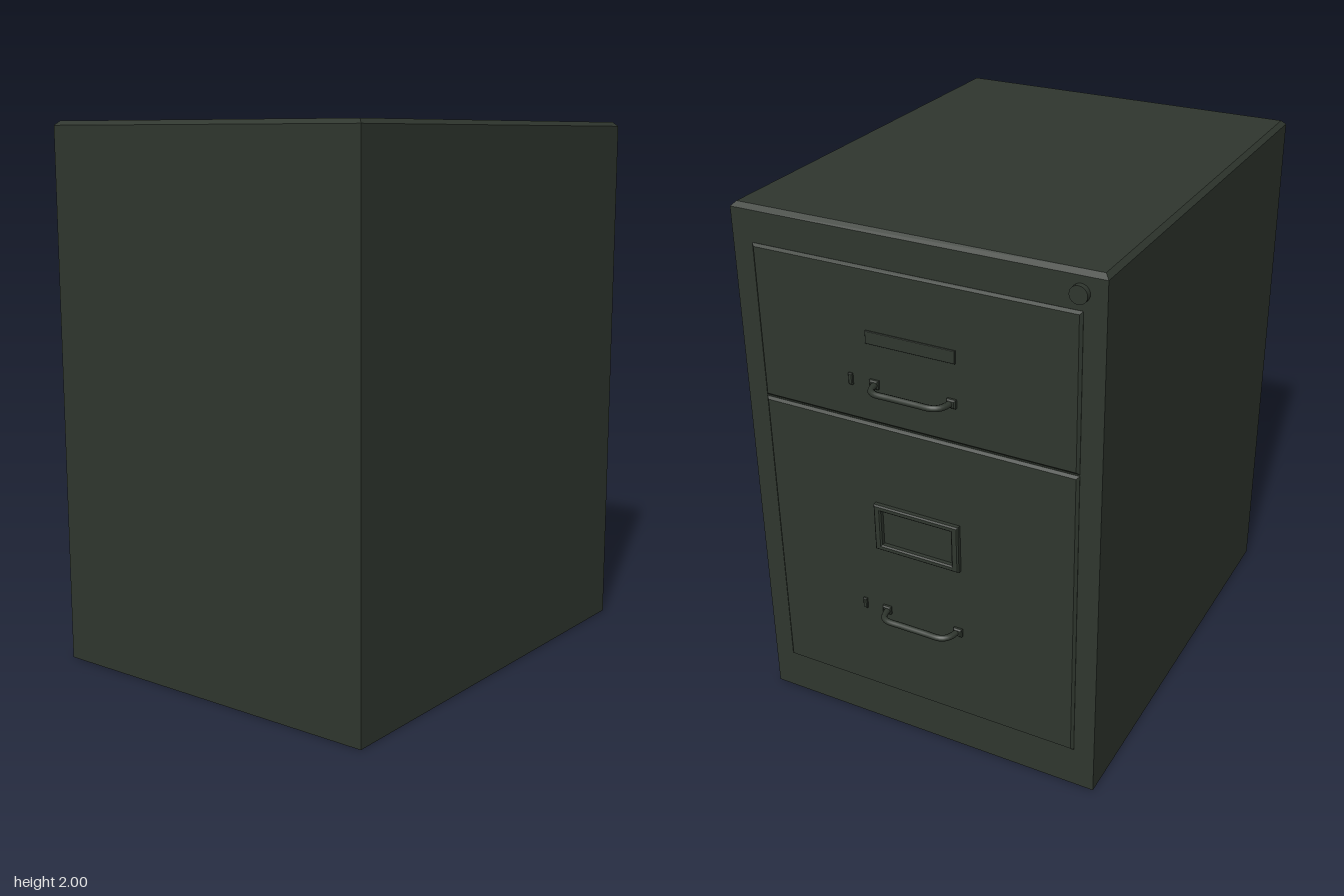
import * as THREE from 'three';

const paint = new THREE.MeshStandardMaterial({ color: 0x2f362e });
paint.name = 'dark olive paint';

function add(parent, name, geometry, x = 0, y = 0, z = 0) {
  const mesh = new THREE.Mesh(geometry, paint);
  mesh.name = name;
  mesh.position.set(x, y, z);
  parent.add(mesh);
  return mesh;
}

// Block standing on y = 0 whose top edges are chamfered by c (drop d)
function chamferedBlock(w, h, depth, c, d = c) {
  const g = new THREE.BoxGeometry(w, h, depth, 1, 2, 1).toNonIndexed();
  g.translate(0, h / 2, 0);
  const p = g.attributes.position;
  for (let i = 0; i < p.count; i++) {
    const y = p.getY(i);
    if (y > h * 0.75) {
      p.setX(i, p.getX(i) - Math.sign(p.getX(i)) * c);
      p.setZ(i, p.getZ(i) - Math.sign(p.getZ(i)) * c);
    } else if (y > h * 0.25) p.setY(i, h - d);
  }
  g.computeVertexNormals();
  return g;
}

// The same block laid against the cabinet face, pointing to +x
const facePlate = (height, width, thick, c) =>
  chamferedBlock(height, thick, width, c).rotateZ(-Math.PI / 2);

// Card holder: rectangular frame with a sloped rim around its window
function cardFrame(width, height, holeW, holeH, thick) {
  const b = 0.005;
  const rect = (path, w, h) => path.moveTo(-w / 2, -h / 2).lineTo(w / 2, -h / 2)
    .lineTo(w / 2, h / 2).lineTo(-w / 2, h / 2).closePath();
  const shape = rect(new THREE.Shape(), width - 2 * b, height - 2 * b);
  shape.holes.push(rect(new THREE.Path(), holeW + 2 * b, holeH + 2 * b));
  return new THREE.ExtrudeGeometry(shape, {
    depth: thick - b, bevelThickness: b, bevelSize: b, bevelSegments: 1,
  }).rotateY(Math.PI / 2);
}

// Bent bar pull with a mounting foot at each end
function makePull(y) {
  const pull = new THREE.Group();
  pull.name = 'drawerPull';
  const pts = [[0.8, 0.142], [0.84, 0.137], [0.862, 0.128], [0.874, 0.108], [0.875, 0.05],
    [0.875, -0.05], [0.874, -0.108], [0.862, -0.128], [0.84, -0.14], [0.8, -0.147]]
    .map(([x, z]) => new THREE.Vector3(x, 0, z));
  const bar = new THREE.TubeGeometry(new THREE.CatmullRomCurve3(pts), 40, 0.0115, 8);
  add(pull, 'pullBar', bar);
  for (const z of [0.144, -0.149])
    add(pull, 'pullFoot', facePlate(0.032, 0.034, 0.018, 0.005), 0.805, 0, z);
  // Thumb latch beside the pull
  add(pull, 'thumbLatch', facePlate(0.042, 0.016, 0.014, 0.003), 0.805, 0, 0.237);
  pull.position.y = y;
  return pull;
}

export function createModel() {
  const cabinet = new THREE.Group();
  cabinet.name = 'filingCabinet';

  // Cabinet shell with chamfered top
  add(cabinet, 'shell', chamferedBlock(1.686, 2, 1.36, 0.016), -0.043, 0, 0);

  // Drawer fronts with their pulls
  for (const [name, y0, y1, pullY] of [
    ['upperDrawer', 1.303, 1.87, 1.455], ['lowerDrawer', 0.16, 1.297, 0.533]]) {
    const drawer = new THREE.Group();
    drawer.name = name;
    add(drawer, name + 'Front', facePlate(y1 - y0, 1.204, 0.02, 0.009), 0.79, (y0 + y1) / 2, 0);
    drawer.add(makePull(pullY));
    cabinet.add(drawer);
  }

  // Card holders
  add(cabinet, 'cardFrame', cardFrame(0.335, 0.185, 0.28, 0.14, 0.022), 0.808, 0.892, 0.002);
  add(cabinet, 'cardPlate', facePlate(0.046, 0.335, 0.015, 0.001), 0.802, 1.624, 0.002);

  // Lock cylinder
  const lock = new THREE.CylinderGeometry(0.031, 0.031, 0.03, 24).rotateZ(-Math.PI / 2);
  add(cabinet, 'lock', lock, 0.805, 1.928, -0.592);

  return cabinet;
}
